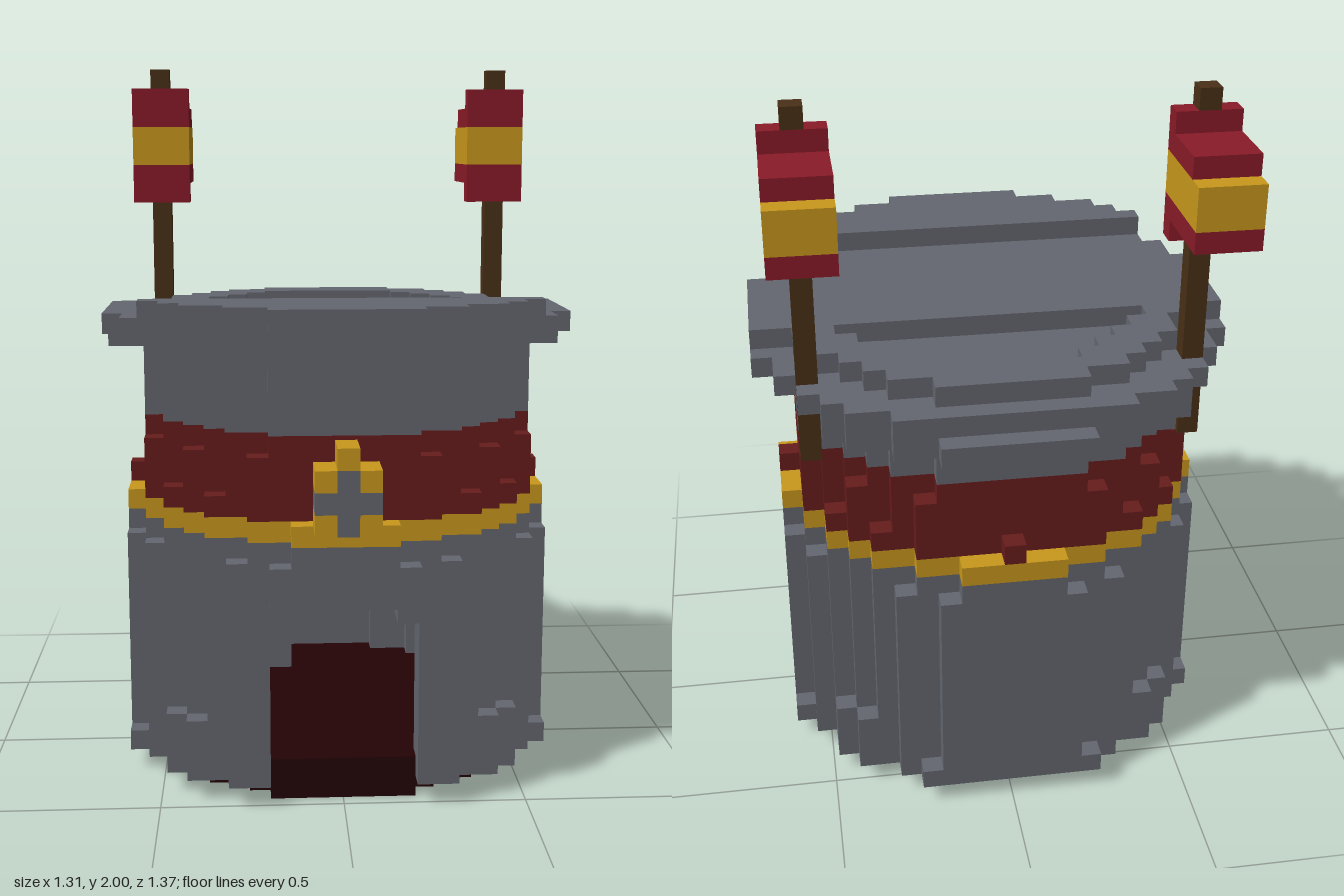
import * as THREE from 'three';
import { mergeGeometries } from 'three/addons/utils/BufferGeometryUtils.js';

const U = 2 / 35; // one block

const mat = (name, color) => {
  const m = new THREE.MeshStandardMaterial({ color });
  m.name = name;
  return m;
};

// Box between block coordinates
function block(x0, x1, y0, y1, z0, z1) {
  const g = new THREE.BoxGeometry((x1 - x0) * U, (y1 - y0) * U, (z1 - z0) * U);
  return g.translate((x0 + x1) * U / 2, (y0 + y1) * U / 2, (z0 + z1) * U / 2);
}

// Stepped disc made of block rows: r2 = squared radius, inner = squared radius
// of a hollow, door = half width of a gap towards the front, from/to = row range
function disc(r2, y0, y1, { inner = -1, door = 0, from = -11, to = 11 } = {}) {
  const rows = [];
  for (let c = from; c <= to; c++) {
    if (c * c > r2) continue;
    const w = Math.floor(Math.sqrt(r2 - c * c)) + 0.5;
    let gap = c * c <= inner ? Math.floor(Math.sqrt(inner - c * c)) + 0.5 : 0;
    if (c > 0) gap = Math.max(gap, door);
    if (gap >= w) continue;
    if (gap > 0) {
      rows.push(block(-w, -gap, y0, y1, c - 1, c), block(gap, w, y0, y1, c - 1, c));
    } else {
      rows.push(block(-w, w, y0, y1, c - 1, c));
    }
  }
  return rows;
}

export function createModel() {
  const stone = mat('stone grey', 0x646770);
  const maroon = mat('band maroon', 0x671c1c);
  const gold = mat('gold', 0xca991d);
  const red = mat('flag red', 0x8a1b28);
  const wood = mat('pole brown', 0x4a3018);
  const dark = mat('floor dark maroon', 0x240305);

  const model = new THREE.Group();
  const add = (name, geometries, material, parent = model) => {
    const mesh = new THREE.Mesh(mergeGeometries(geometries), material);
    mesh.name = name;
    parent.add(mesh);
  };

  // Foundation and inner floor
  add('floor', disc(73, 0, 2), dark);

  // Tapering hollow wall with a doorway, closed above the arch
  const hollow = { inner: 70, door: 3.5, to: 9 };
  add('lowerWall', [
    ...disc(116, 1, 2, hollow),
    ...disc(114, 2, 4, hollow),
    ...disc(112, 4, 9, hollow),
    ...disc(112, 9, 10, { ...hollow, door: 2.5 }),
    ...disc(112, 10, 12),
    ...disc(105, 12, 13),
    // worn arch stone
    block(-3.5, -2.5, 7, 9, 8, 9),
  ], stone);

  // Painted bands
  add('goldBand', disc(104, 13, 14), gold);
  add('maroonBand', [
    ...disc(100, 14, 15, { to: 9 }),
    ...disc(98, 15, 17),
    ...disc(92, 17, 18),
  ], maroon);

  // Upper wall and the low parapet behind the roof
  add('upperWall', disc(92, 18, 22), stone);
  add('parapet', disc(92, 22, 23, { inner: 60, from: -9, to: -3 }), stone);

  // Roof slab sloping down to the back in steps
  add('roof', [
    ...disc(131, 23, 24, { from: 7, to: 11 }),
    ...disc(131, 22, 23, { from: -2, to: 9 }),
    ...disc(131, 21, 22, { from: -10, to: 0 }),
    ...disc(131, 20, 21, { from: -11, to: -8 }),
  ], stone);

  // Emblem above the door
  const emblem = new THREE.Group();
  emblem.name = 'emblem';
  model.add(emblem);
  add('emblemFrame', [
    block(-0.5, 0.5, 17, 18, 10, 12),
    ...[-1, 1].flatMap((x) => [
      block(x - 0.5, x + 0.5, 16, 17, 10, 12),
      block(x - 0.5, x + 0.5, 14, 15, 10, 12),
    ]),
  ], gold, emblem);
  add('emblemCentre', [
    block(-0.5, 0.5, 14, 17, 10, 12),
    block(-1.5, -0.5, 15, 16, 10, 12),
    block(0.5, 1.5, 15, 16, 10, 12),
  ], stone, emblem);

  // Flags on poles, one each side
  for (const side of [-1, 1]) {
    const flag = new THREE.Group();
    flag.name = side > 0 ? 'leftFlag' : 'rightFlag';
    flag.position.x = side * 9 * U;
    model.add(flag);
    add('pole', [
      block(-0.5, 0.5, 18, 28, -7, -6),
      block(-0.5, 0.5, 34, 35, -7, -6),
    ], wood, flag);
    add('flagCloth', [
      block(-1.5, 1.5, 28, 30, -7, -6),
      block(-1.5, 1.5, 32, 34, -7, -6),
      block(-1.5, 1.5, 29, 30, -11, -7),
      block(-1.5, 1.5, 32, 33, -10, -7),
    ], red, flag);
    add('flagStripe', [block(-1.5, 1.5, 30, 32, -11, -6)], gold, flag);
  }
  return model;
}
